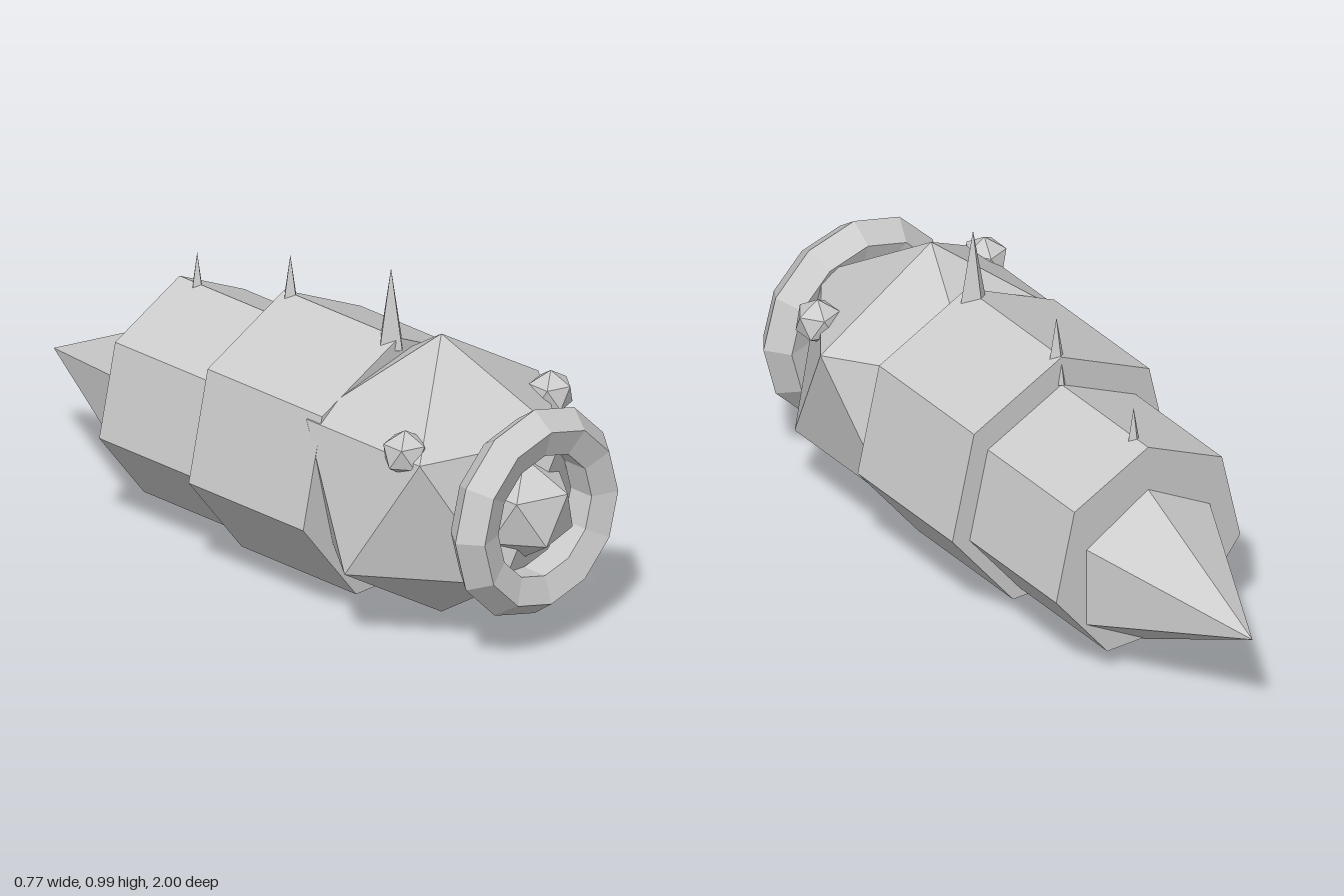
import * as THREE from 'three';

export function createModel() {
  const group = new THREE.Group();
  const material = new THREE.MeshStandardMaterial({ color: 0xcccccc, flatShading: true });

  const add = (name, geometry, x, y, z) => {
    const mesh = new THREE.Mesh(geometry, material);
    mesh.name = name;
    mesh.position.set(x, y, z);
    group.add(mesh);
  };

  // icosahedron turned so that one corner points straight up
  const gem = (r) =>
    new THREE.IcosahedronGeometry(r, 0).rotateZ(-Math.atan(2 / (1 + Math.sqrt(5))));

  // head, nose and the ring around the mouth
  add('head', gem(0.428), 0, 0.43, 0.54);
  add('nose', gem(0.153), 0, 0.43, 0.87);
  add('mouthRing', new THREE.TorusGeometry(0.242, 0.071, 5, 12), 0, 0.43, 0.91);

  // eyes
  add('leftEye', gem(0.069), 0.288, 0.631, 0.685);
  add('rightEye', gem(0.069), -0.288, 0.631, 0.685);

  // seven-sided body segments lying along z: radius, centre height, front z, back z
  const segments = [
    ['frontSegment', 0.387, 0.403, 0.37, -0.085],
    ['rearSegment', 0.326, 0.374, -0.08, -0.5],
  ];
  for (const [name, r, y, z0, z1] of segments) {
    const geometry = new THREE.CylinderGeometry(r, r, z0 - z1, 7).rotateX(-Math.PI / 2);
    add(name, geometry, 0, y, (z0 + z1) / 2);
  }

  // pointed tail
  add('tail', new THREE.ConeGeometry(0.253, 0.515, 6).rotateX(-Math.PI / 2), 0, 0.316, -0.7425);

  // back spikes: tip height, z, base radius, height
  const spikes = [
    [0.995, 0.34, 0.045, 0.24],
    [0.907, -0.06, 0.037, 0.205],
    [0.795, -0.43, 0.028, 0.16],
  ];
  spikes.forEach(([tip, z, r, h], i) =>
    add(`backSpike${i + 1}`, new THREE.ConeGeometry(r, h, 4), 0, tip - h / 2, z));

  return group;
}
